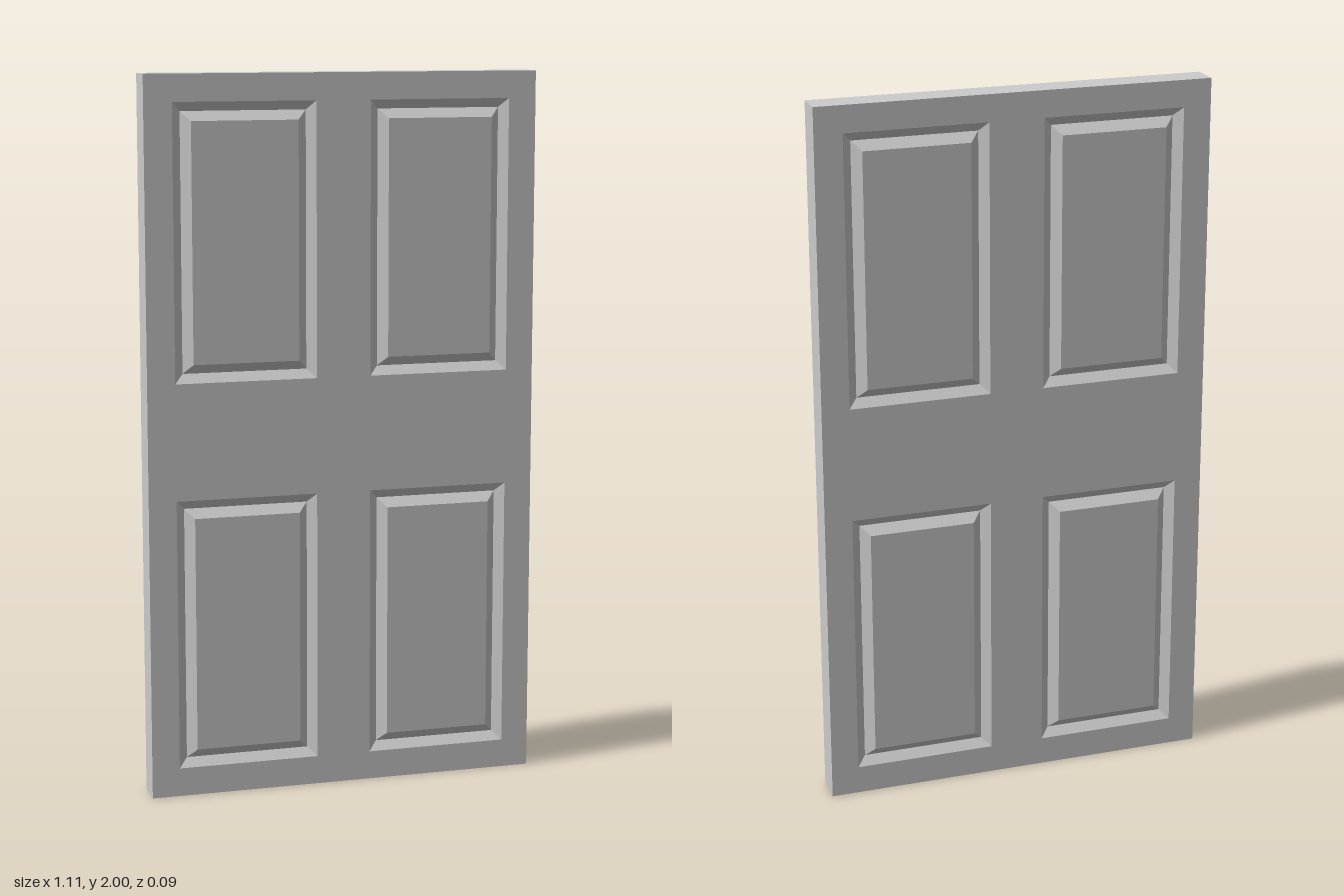
import * as THREE from 'three';

const W = 0.555, H = 2, T = 0.042; // half width, height, half thickness
const GROOVE = T - 0.02, RAISED = T + 0.002;
const PANEL_ROWS = [[0.08, 0.84], [1.165, 1.925]];
const PANEL_COLS = [[-0.477, -0.077], [0.077, 0.477]];

const material = new THREE.MeshStandardMaterial({ color: 0xcccccc, flatShading: true });

// Corners of a rectangle at depth z, inset from its edges, counter-clockwise from the front
const rect = ([x0, x1], [y0, y1], inset, z) => [
  [x0 + inset, y0 + inset, z], [x1 - inset, y0 + inset, z],
  [x1 - inset, y1 - inset, z], [x0 + inset, y1 - inset, z],
];

// Joins successive rectangles with flat bands, optionally closing the last one
function loft(loops, cap) {
  const pos = [];
  const quad = (a, b, c, d) => pos.push(...a, ...b, ...c, ...a, ...c, ...d);
  for (let i = 0; i + 1 < loops.length; i++) {
    for (let k = 0; k < 4; k++) {
      const n = (k + 1) % 4;
      quad(loops[i][k], loops[i][n], loops[i + 1][n], loops[i + 1][k]);
    }
  }
  if (cap) quad(...loops[loops.length - 1]);
  const geo = new THREE.BufferGeometry();
  geo.setAttribute('position', new THREE.Float32BufferAttribute(pos, 3));
  geo.computeVertexNormals();
  return geo;
}

function addMesh(parent, name, geometry) {
  const mesh = new THREE.Mesh(geometry, material);
  mesh.name = name;
  parent.add(mesh);
}

// One face of the door: flat frame with four openings, each filled by a raised panel
function createFace(name) {
  const face = new THREE.Group();
  face.name = name;
  const points = (loop) => loop.map(([x, y]) => new THREE.Vector2(x, y));
  const frame = new THREE.Shape(points(rect([-W, W], [0, H], 0, 0)));

  for (const row of PANEL_ROWS) {
    for (const col of PANEL_COLS) {
      frame.holes.push(new THREE.Path(points(rect(col, row, 0, 0)).reverse()));
      // Slope into the groove, then back up to the raised centre
      addMesh(face, 'raisedPanel', loft([
        rect(col, row, 0, T),
        rect(col, row, 0.025, GROOVE),
        rect(col, row, 0.051, RAISED),
      ], true));
    }
  }
  addMesh(face, 'frame', new THREE.ShapeGeometry(frame).translate(0, 0, T));
  return face;
}

export function createModel() {
  const door = new THREE.Group();
  door.name = 'panelDoor';

  // Outer edges
  addMesh(door, 'edges', loft([
    rect([-W, W], [0, H], 0, -T),
    rect([-W, W], [0, H], 0, T),
  ], false));

  // Matching front and back faces
  const back = createFace('backFace');
  back.rotation.y = Math.PI;
  door.add(createFace('frontFace'), back);
  return door;
}
